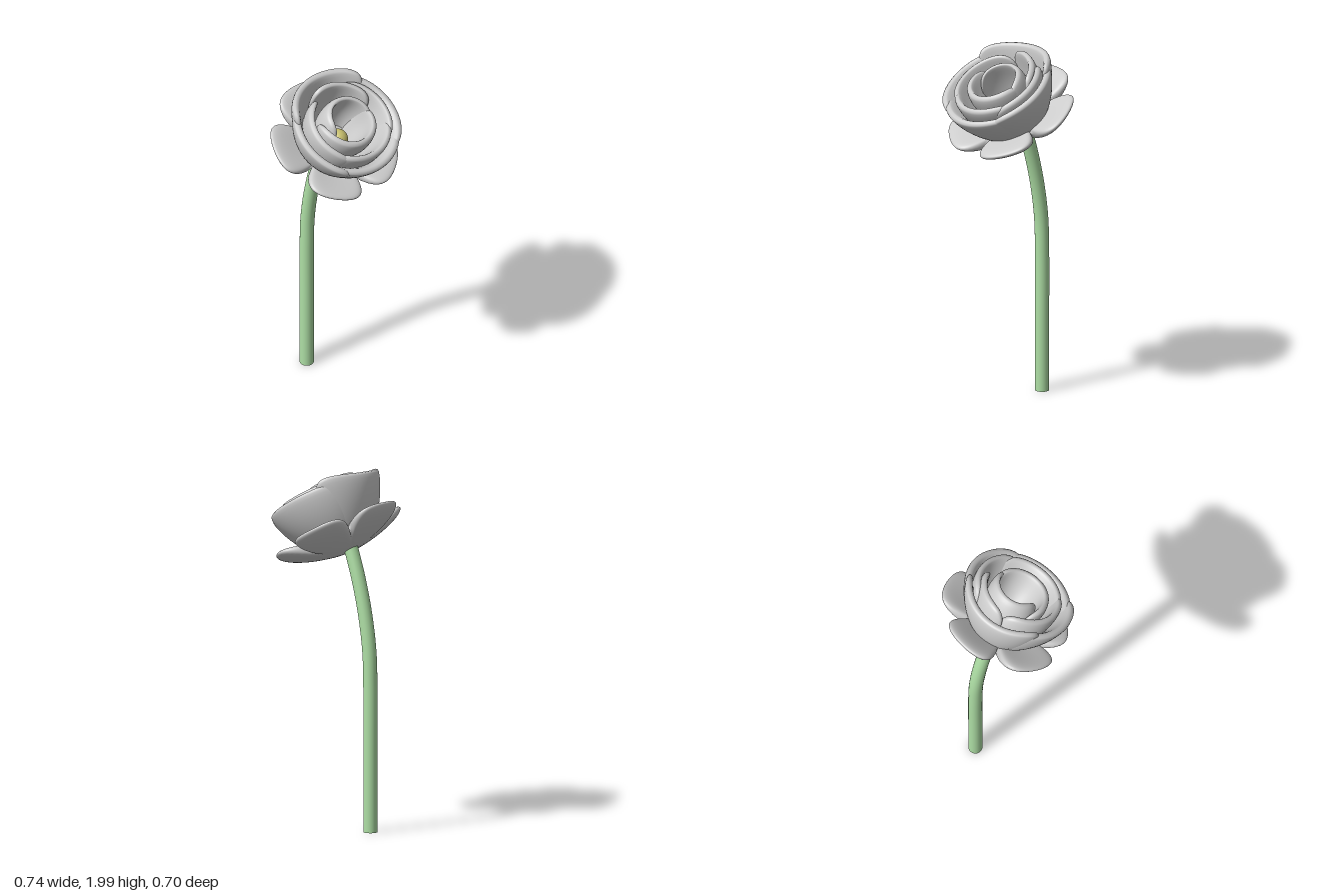
import * as THREE from 'three';
import { mergeVertices } from 'three/addons/utils/BufferGeometryUtils.js';

const RAD = Math.PI / 180;
const grey = new THREE.MeshStandardMaterial({ color: 0xcccccc });
const green = new THREE.MeshStandardMaterial({ color: 0xaedfa5 });
const yellow = new THREE.MeshStandardMaterial({ color: 0xccc471 });

// Smooth skin over a grid; fn(i / nu, j / nv) returns [angle, radius, height]
function polarSurface(nu, nv, fn) {
  const pos = [], index = [];
  for (let i = 0; i <= nu; i++) {
    for (let j = 0; j <= nv; j++) {
      const [phi, r, y] = fn(i / nu, j / nv);
      pos.push(r * Math.sin(phi), y, r * Math.cos(phi));
      if (i === nu || j === nv) continue;
      const a = i * (nv + 1) + j, b = a + nv + 1;
      index.push(a, b, b + 1, a, b + 1, a + 1);
    }
  }
  let geo = new THREE.BufferGeometry();
  geo.setAttribute('position', new THREE.Float32BufferAttribute(pos, 3));
  geo.setIndex(index);
  geo = mergeVertices(geo, 1e-5);
  geo.computeVertexNormals();
  return geo;
}

// Thick curved petal: an upright rounded section swept round the flower axis
function petalGeometry({ at, half, r, base, bottom = 0.03, top, lift = 0, thick = 0.05, bulge = 0.02 }) {
  return polarSurface(48, 28, (u, v) => {
    const c = -Math.cos(u * Math.PI), s = Math.abs(c);
    const phi = (at + half * c) * RAD;
    const rim = THREE.MathUtils.lerp(r[0], r[1], (c + 1) / 2);
    const taper = Math.sqrt(Math.max(0, 1 - s ** 6));
    const angle = v * Math.PI * 2;
    const t = (1 - Math.cos(angle)) / 2 * (0.6 + 0.4 * taper);
    const sin = Math.sin(angle);
    const side = Math.sign(sin) * Math.sqrt(Math.abs(sin)) * taper * thick / 2;
    const radius = base + (rim - base) * t + bulge * Math.sin(t * Math.PI) + side;
    return [phi, radius, bottom + (top + lift * c * c - bottom) * t - side * 0.35];
  });
}

// Five-lobed dished collar under the bloom
function collarGeometry() {
  return polarSurface(160, 40, (u, v) => {
    const lobe = (u * 5) % 1 * 2 - 1;
    const edge = 0.2 + 0.173 * (1 - Math.abs(lobe) ** 5);
    const q = Math.sin(v * Math.PI);
    const r = edge * q;
    const half = 0.038 * Math.sqrt(Math.max(0, 1 - q ** 5));
    const y = 0.085 * (r / 0.35) ** 1.5 + (v < 0.5 ? -half : half);
    return [u * Math.PI * 2, r, y];
  });
}

export function createModel() {
  const model = new THREE.Group();
  const add = (parent, name, geo, mat) => {
    const mesh = new THREE.Mesh(geo, mat);
    mesh.name = name;
    parent.add(mesh);
    return mesh;
  };

  // Stem, straight below and bending forward near the bloom
  const path = new THREE.CatmullRomCurve3([
    [0, -0.242], [0.4, -0.242], [0.8, -0.242], [1.0, -0.235],
    [1.2, -0.206], [1.4, -0.158], [1.59, -0.097],
  ].map(([y, z]) => new THREE.Vector3(0, y, z)));
  add(model, 'stem', new THREE.TubeGeometry(path, 60, 0.039, 24), green);
  const cap = add(model, 'stemEnd', new THREE.CircleGeometry(0.039, 24), green);
  cap.rotation.x = Math.PI / 2;
  cap.position.z = -0.242;

  // Bloom, tilted towards the front
  const bloom = new THREE.Group();
  bloom.name = 'bloom';
  bloom.position.set(0, 1.57, -0.07);
  bloom.rotation.x = 30 * RAD;
  model.add(bloom);

  add(bloom, 'collar', collarGeometry(), grey);

  // Solid heart that closes the cup
  const heart = [[0, 0], [0.13, 0.01], [0.17, 0.06], [0.16, 0.09], [0.08, 0.1], [0, 0.1]]
    .map(([x, y]) => new THREE.Vector2(x, y));
  add(bloom, 'heart', new THREE.LatheGeometry(heart, 48), grey);

  const outer = { base: 0.155, thick: 0.055, bulge: 0.012 };
  const whorls = {
    outerPetal: [
      { ...outer, at: 0, half: 64, r: [0.305, 0.305], top: 0.295 },
      { ...outer, at: 95, half: 65, r: [0.315, 0.29], top: 0.31 },
      { ...outer, at: 185, half: 64, r: [0.31, 0.315], top: 0.308, lift: 0.08 },
      { ...outer, at: -85, half: 58, r: [0.29, 0.325], top: 0.31 },
    ],
    middlePetal: [
      { at: 5, half: 66, r: [0.235, 0.245], base: 0.13, top: 0.33 },
      { at: 95, half: 58, r: [0.255, 0.24], base: 0.14, top: 0.33 },
      { at: 150, half: 52, r: [0.2, 0.235], base: 0.13, top: 0.345 },
      { at: -95, half: 70, r: [0.2, 0.245], base: 0.13, top: 0.335 },
    ],
    innerPetal: [
      { at: -5, half: 115, r: [0.16, 0.145], base: 0.08, bottom: 0.08, top: 0.34 },
    ],
    corePetal: [
      { at: 180, half: 114, r: [0.15, 0.095], base: 0.1, bottom: 0.08, top: 0.345, thick: 0.045 },
    ],
  };
  for (const [name, petals] of Object.entries(whorls)) {
    petals.forEach((p, i) => add(bloom, name + (i + 1), petalGeometry(p), grey));
  }

  // Pistil low in the middle of the core
  const pistil = add(bloom, 'pistil', new THREE.SphereGeometry(0.056, 24, 16), yellow);
  pistil.position.set(0, 0.13, 0.015);

  return model;
}
